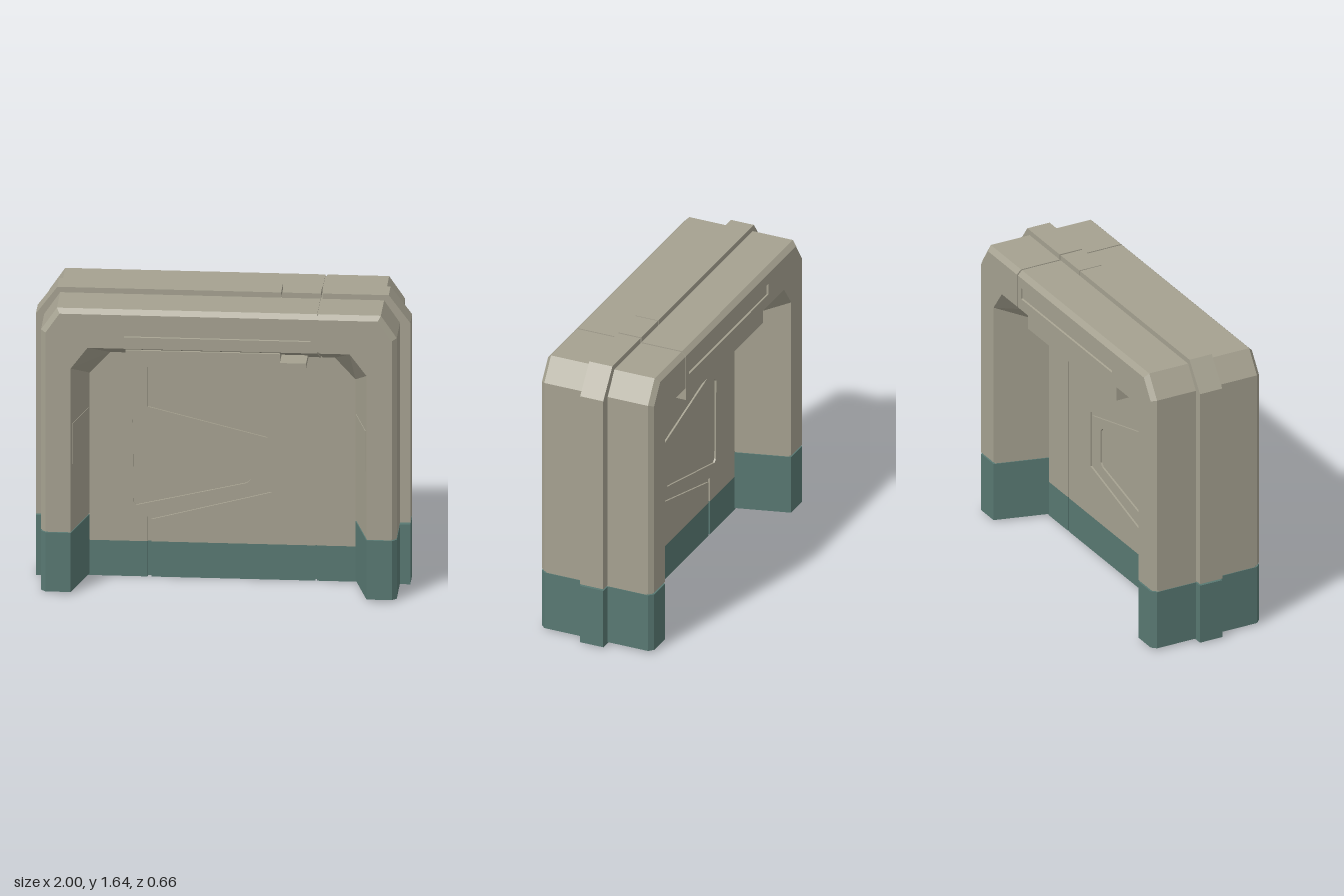
import * as THREE from 'three';

const tan = new THREE.MeshStandardMaterial({ color: 0xa5a190 });
tan.name = 'warm grey plating';
const teal = new THREE.MeshStandardMaterial({ color: 0x587872 });
teal.name = 'teal base paint';

// Closed, flat-faced solid through a series of equal-length rings of [x, y, z]
function loft(rings) {
  const pos = [];
  const tri = (a, b, c) => pos.push(...a, ...b, ...c);
  const centre = (r) => [0, 1, 2].map((k) => r.reduce((s, p) => s + p[k], 0) / r.length);
  const first = rings[0], last = rings[rings.length - 1], n = first.length;
  const c0 = centre(first), c1 = centre(last);
  for (let i = 0; i < n; i++) {
    const j = (i + 1) % n;
    for (let k = 0; k + 1 < rings.length; k++) {
      const r = rings[k], s = rings[k + 1];
      tri(r[i], r[j], s[j]);
      tri(r[i], s[j], s[i]);
    }
    tri(c0, first[j], first[i]);
    tri(c1, last[i], last[j]);
  }
  const g = new THREE.BufferGeometry();
  g.setAttribute('position', new THREE.Float32BufferAttribute(pos, 3));
  g.computeVertexNormals();
  return g;
}

const mirrorRings = (rings) => rings.map((r) => r.map(([x, y, z]) => [-x, y, z]).reverse());

// Frame cross-section: outer wall, bevel edge, opening edge, inner throat
function frameRing(outer, bevel, open, throat) {
  return [[outer, 0.305], [outer, -0.305], [bevel, -0.33], [open, -0.33],
    [throat, -0.035], [throat, 0.035], [open, 0.33], [bevel, 0.33]].map(([p, z]) => [...p, z]);
}
const legRing = (y) => frameRing([0.95, y], [0.925, y], [0.79, y], [0.71, y]);
const beamRing = (x) => frameRing([x, 1.615], [x, 1.59], [x, 1.4], [x, 1.27]);
const shoulderRing = frameRing([0.95, 1.49], [0.925, 1.48], [0.79, 1.28], [0.71, 1.15]);
const cornerRing = frameRing([0.865, 1.615], [0.85, 1.59], [0.7, 1.4], [0.6, 1.27]);

// Middle beam has a shallow lengthwise slot on both faces
function slottedRing(x) {
  const front = [[1.4, 0.33], [1.465, 0.33], [1.467, 0.32], [1.528, 0.32], [1.53, 0.33], [1.59, 0.33], [1.615, 0.305]];
  const half = [[1.27, 0.035], ...front];
  const back = half.map(([y, z]) => [y, -z]).reverse();
  return [...back, ...half].map(([y, z]) => [x, y, z]);
}

// Rib cross-section
function ribRing(outer, inner) {
  return [[outer, 0.068], [outer, -0.068], [inner, -0.068], [inner, 0.068]].map(([p, z]) => [...p, z]);
}
const ribLeg = (y) => ribRing([1, y], [0.85, y]);
const ribBeam = (x) => ribRing([x, 1.645], [x, 1.5]);

// Slightly smaller ring for the filler inside the seams
function shrink(ring) {
  const c = [0, 1, 2].map((k) => ring.reduce((s, p) => s + p[k], 0) / ring.length);
  return ring.map((p) => p.map((v, k) => c[k] + (v - c[k]) * 0.965));
}

export function createModel() {
  const model = new THREE.Group();
  model.name = 'doorway';
  const frame = new THREE.Group();
  frame.name = 'frame';
  frame.position.x = -0.005;
  const ribs = new THREE.Group();
  ribs.name = 'ribs';
  const door = new THREE.Group();
  door.name = 'door';
  model.add(frame, ribs, door);

  const add = (parent, name, geometry, material) => {
    const mesh = new THREE.Mesh(geometry, material);
    mesh.name = name;
    parent.add(mesh);
    return mesh;
  };
  const box = (parent, name, material, x0, x1, y0, y1, z0, z1) => {
    const m = add(parent, name, new THREE.BoxGeometry(x1 - x0, y1 - y0, z1 - z0), material);
    m.position.set((x0 + x1) / 2, (y0 + y1) / 2, (z0 + z1) / 2);
    return m;
  };
  const pair = (parent, name, rings, material) => {
    add(parent, name + 'Left', loft(rings), material);
    add(parent, name + 'Right', loft(mirrorRings(rings)), material);
  };

  // Frame legs, feet and beam
  pair(frame, 'foot', [legRing(0.01), legRing(0.345)], teal);
  pair(frame, 'pillar', [legRing(0.355), shoulderRing, cornerRing, beamRing(0.535)], tan);
  pair(frame, 'footSeam', [shrink(legRing(0.3)), shrink(legRing(0.4))], tan);
  pair(frame, 'beamSeam', [shrink(beamRing(0.56)), shrink(beamRing(0.5))], tan);
  add(frame, 'beam', loft([slottedRing(0.525), slottedRing(-0.535)]), tan);
  for (const s of [1, -1]) {
    const z0 = s > 0 ? 0.31 : -0.33, z1 = z0 + 0.02;
    box(frame, 'slotEnd', tan, -0.535, -0.505, 1.46, 1.535, z0, z1);
    box(frame, 'slotEnd', tan, 0.49, 0.525, 1.46, 1.535, z0, z1);
  }

  // Thin plates on the front reveals
  for (const s of [1, -1]) {
    const plate = add(frame, 'revealPlate', new THREE.BoxGeometry(0.006, 0.23, 0.26), tan);
    plate.position.set(s * 0.75, 0.845, 0.1825);
    plate.rotation.y = s * Math.atan2(0.08, 0.295);
  }

  // Housings under the beam
  box(frame, 'frontHousing', tan, -0.5, 0.325, 1.29, 1.38, 0.03, 0.3);
  box(frame, 'frontHousingFin', tan, 0.325, 0.465, 1.3, 1.33, 0.03, 0.3);
  box(frame, 'backHousing', tan, -0.5, 0.465, 1.29, 1.38, -0.3, -0.03);

  // Raised rib around the outside
  pair(ribs, 'ribFoot', [ribLeg(0.005), ribLeg(0.345)], teal);
  pair(ribs, 'ribSide', [ribLeg(0.355), ribRing([1, 1.49], [0.85, 1.45]),
    ribRing([0.885, 1.645], [0.8, 1.55]), ribBeam(0.532)], tan);
  add(ribs, 'ribTopShort', loft([ribBeam(0.522), ribBeam(0.316)]), tan);
  add(ribs, 'ribTopLong', loft([ribBeam(0.31), ribBeam(-0.54)]), tan);

  // Door leaves: interlocking panels with a recessed window-shaped field
  const leaf = (name, points, hole) => {
    const shape = new THREE.Shape(points.map((p) => new THREE.Vector2(...p)));
    if (hole) shape.holes.push(new THREE.Path(hole.map((p) => new THREE.Vector2(...p))));
    const g = new THREE.ExtrudeGeometry(shape, { depth: 0.07, bevelEnabled: false });
    g.translate(0, 0, -0.035);
    add(door, name, g, tan);
  };
  leaf('tongueLeaf',
    [[-0.725, 0.2], [-0.405, 0.2], [-0.405, 0.34], [0.235, 0.51], [0.235, 0.805],
      [-0.405, 0.965], [-0.405, 1.28], [-0.725, 1.28]],
    [[-0.485, 0.89], [-0.465, 0.91], [0.125, 0.775], [0.145, 0.755], [0.145, 0.565],
      [0.125, 0.545], [-0.465, 0.405], [-0.48, 0.42]]);
  leaf('socketLeaf',
    [[-0.385, 0.2], [0.49, 0.2], [0.49, 1.28], [-0.385, 1.28], [-0.385, 0.98],
      [0.255, 0.82], [0.255, 0.495], [-0.385, 0.325]]);
  leaf('sideLeaf', [[0.5, 0.2], [0.715, 0.2], [0.715, 1.28], [0.5, 1.28]]);
  box(door, 'doorCore', tan, -0.72, 0.71, 0.2, 1.28, -0.025, 0.025);

  // Painted lower strip of the door
  for (const [x0, x1] of [[-0.725, -0.405], [-0.385, 0.49], [0.5, 0.715]]) {
    box(door, 'doorKick', teal, x0, x1, 0, 0.2, -0.035, 0.035);
  }
  box(door, 'doorKickCore', teal, -0.72, 0.71, 0.005, 0.2, -0.025, 0.025);

  return model;
}
